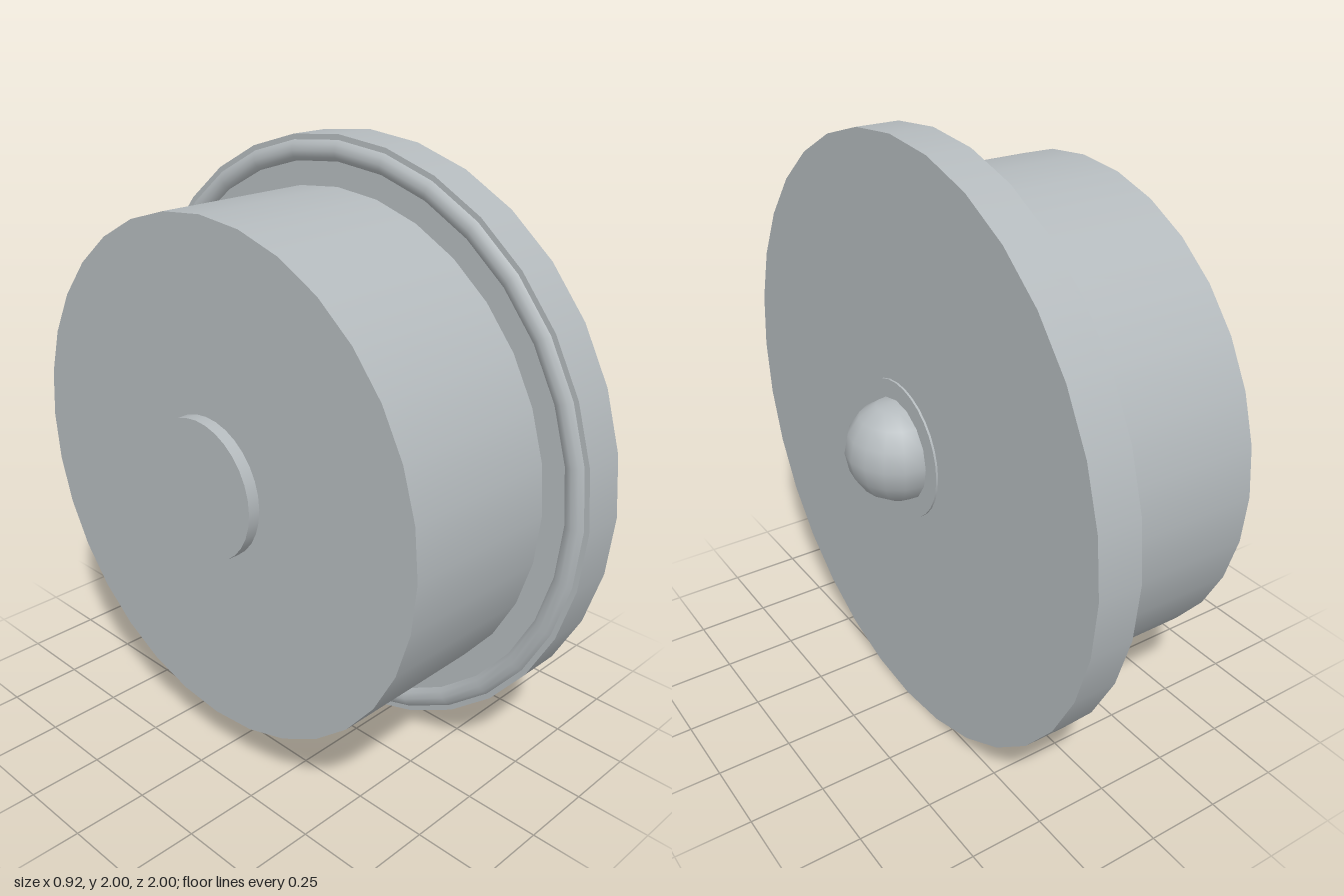
import * as THREE from 'three';

export function createModel() {
  const group = new THREE.Group();
  const steel = new THREE.MeshStandardMaterial({ color: 0xb4babd });
  steel.name = 'steel';

  function add(name, geometry, x) {
    const mesh = new THREE.Mesh(geometry, steel);
    mesh.name = name;
    mesh.position.set(x, 1, 0);
    group.add(mesh);
  }

  // Disc along the x axis, from x0 to x1
  function disc(name, radius, x0, x1) {
    const geometry = new THREE.CylinderGeometry(radius, radius, x1 - x0, 32);
    geometry.rotateZ(-Math.PI / 2);
    add(name, geometry, (x0 + x1) / 2);
  }

  disc('tread', 0.84, -0.424, 0.15);
  disc('flange', 1, 0.135, 0.28);
  disc('hub', 0.23, -0.465, 0.287);

  // Rounded bead on the inner face of the flange
  const bead = new THREE.TorusGeometry(0.95, 0.04, 12, 32);
  bead.rotateY(Math.PI / 2);
  add('flangeBead', bead, 0.157);

  // Domed axle end
  add('axleEnd', new THREE.SphereGeometry(0.17, 16, 8), 0.287);

  return group;
}
